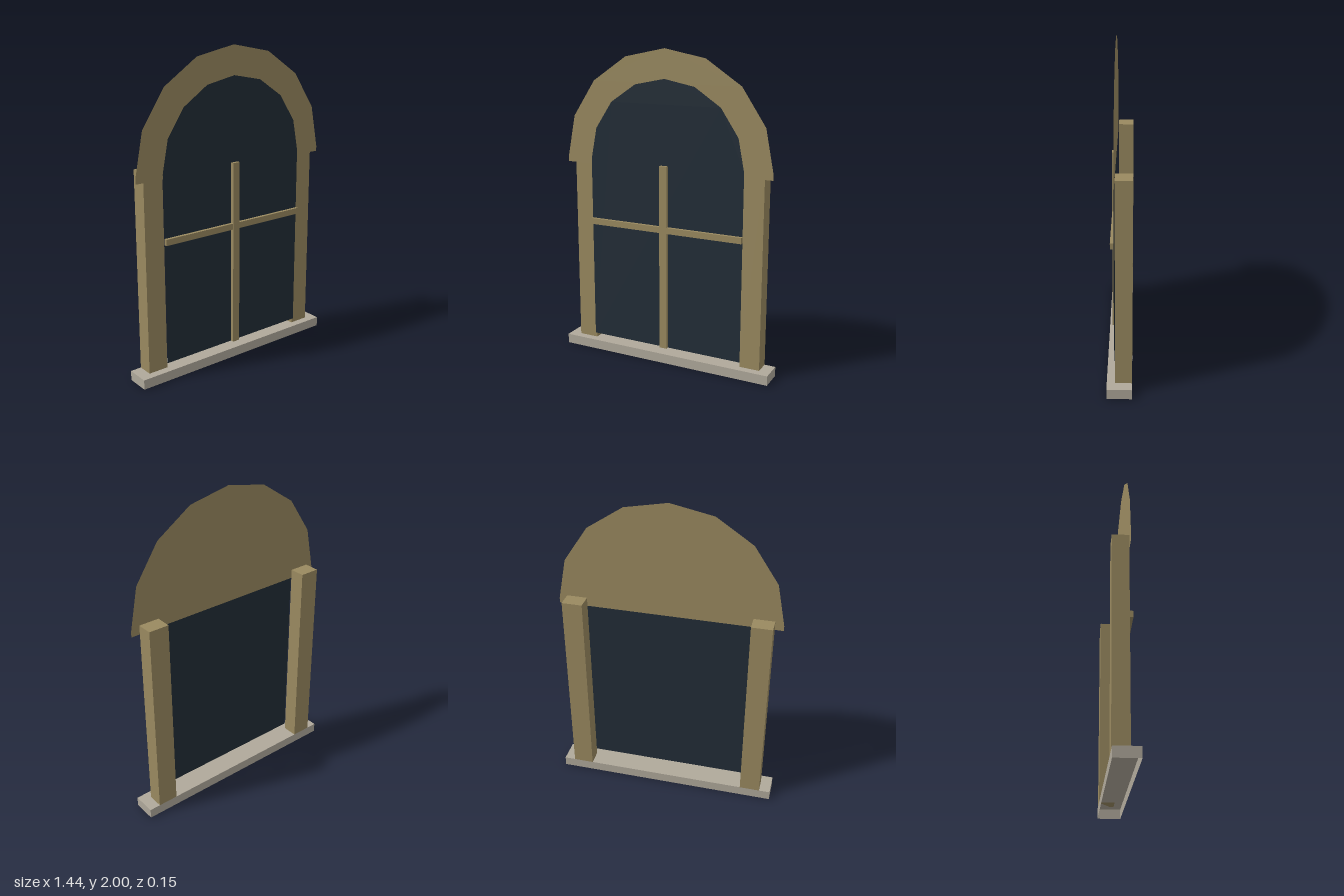
import * as THREE from 'three';

const stone = new THREE.MeshStandardMaterial({ color: 0x9a8a60, side: THREE.DoubleSide });
stone.name = 'tan frame';
const sillGrey = new THREE.MeshStandardMaterial({ color: 0xb0a99b, side: THREE.DoubleSide });
sillGrey.name = 'grey sill';
const glass = new THREE.MeshStandardMaterial({ color: 0x222d37, side: THREE.DoubleSide });
glass.name = 'dark glass';

const SPRING = 1.297; // height where the arch starts to curve

function add(group, name, geometry, material) {
  const mesh = new THREE.Mesh(geometry, material);
  mesh.name = name;
  group.add(mesh);
  return mesh;
}

// Box given by its lower and upper corners
function box(x0, y0, z0, x1, y1, z1) {
  return new THREE.BoxGeometry(x1 - x0, y1 - y0, z1 - z0)
    .translate((x0 + x1) / 2, (y0 + y1) / 2, (z0 + z1) / 2);
}

// Flat panel with straight sides and an eight-segment round top
function archedPanel(radius, bottom, z) {
  const points = [new THREE.Vector2(-radius, bottom), new THREE.Vector2(radius, bottom)];
  for (let i = 0; i <= 8; i++) {
    const a = (i / 8) * Math.PI;
    points.push(new THREE.Vector2(radius * Math.cos(a), SPRING + radius * Math.sin(a)));
  }
  return new THREE.ShapeGeometry(new THREE.Shape(points)).translate(0, 0, z);
}

export function createModel() {
  const model = new THREE.Group();
  model.name = 'archedWindow';

  // Sill: a shallow box, open underneath
  const sill = box(-0.722, 0, -0.075, 0.722, 0.062, 0.075);
  const faces = Array.from(sill.index.array);
  faces.splice(18, 6);
  sill.setIndex(faces);
  sill.clearGroups();
  add(model, 'sill', sill, sillGrey);

  // Side posts
  for (const [name, s] of [['leftPost', 1], ['rightPost', -1]]) {
    add(model, name, box(-0.065, 0.062, -0.075, 0.065, 1.325, 0.025), stone)
      .position.x = s * 0.586;
  }

  // Arch panel behind the pane; its rim forms the surround
  add(model, 'arch', archedPanel(0.705, 1.265, 0.03), stone);
  add(model, 'pane', archedPanel(0.525, 0.095, 0.035), glass);

  // Glazing bars
  add(model, 'uprightBar', box(-0.025, 0.095, 0.0355, 0.025, 1.293, 0.057), stone);
  add(model, 'crossBar', box(-0.525, 0.867, 0.0355, 0.525, 0.906, 0.0565), stone);

  return model;
}
